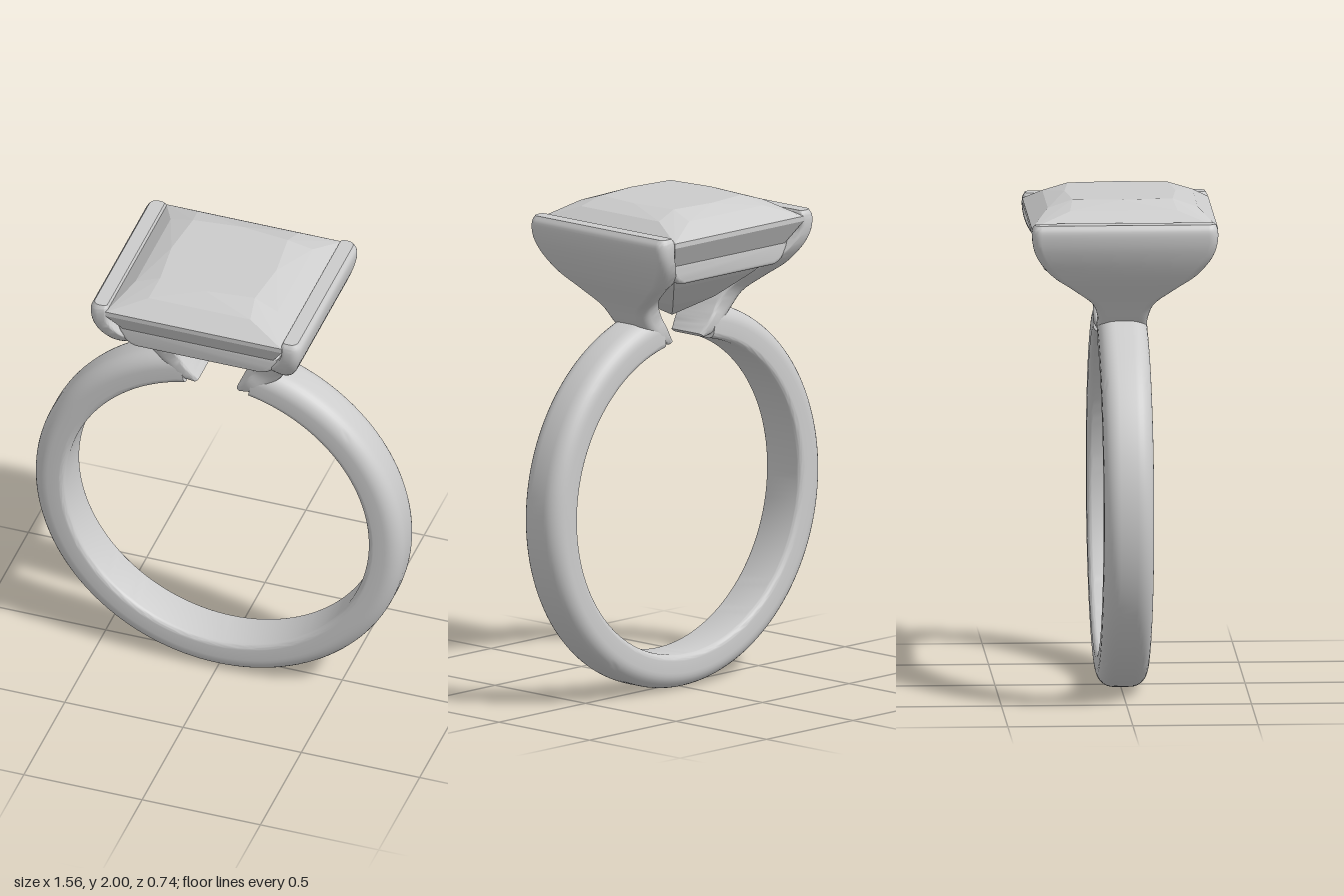
import * as THREE from 'three';
import { toCreasedNormals } from 'three/addons/utils/BufferGeometryUtils.js';
import { ConvexGeometry } from 'three/addons/geometries/ConvexGeometry.js';

// Rounded rectangle outline: u runs inner to outer, v is the depth.
function roundedSection(width, halfDepth, outerR, innerR, steps = 6) {
  const points = [];
  const w = width / 2;
  const corners = [[1, 1, outerR], [-1, 1, innerR], [-1, -1, innerR], [1, -1, outerR]];
  corners.forEach(([su, sv, radius], k) => {
    const r = Math.min(radius, w * 0.95, halfDepth * 0.95);
    for (let i = 0; i <= steps; i++) {
      const a = (k + i / steps) * Math.PI / 2;
      points.push([su * (w - r) + r * Math.cos(a), sv * (halfDepth - r) + r * Math.sin(a)]);
    }
  });
  return points;
}

// Capped skin through a list of equal-length closed sections.
function loft(sections, crease) {
  const n = sections[0].length;
  const last = sections.length - 1;
  const positions = sections.flat().flatMap((p) => [p.x, p.y, p.z]);
  const index = [];
  for (let i = 0; i < last; i++) {
    for (let j = 0; j < n; j++) {
      const k = (j + 1) % n;
      const a = i * n + j, b = i * n + k;
      index.push(a, a + n, b, b, a + n, b + n);
    }
  }
  for (let j = 1; j < n - 1; j++) {
    index.push(0, j, j + 1, last * n, last * n + j + 1, last * n + j);
  }
  const geometry = new THREE.BufferGeometry();
  geometry.setAttribute('position', new THREE.Float32BufferAttribute(positions, 3));
  geometry.setIndex(index);
  return toCreasedNormals(geometry, crease);
}

// Open ring with a domed outside and a flatter inside.
function bandGeometry() {
  const profile = roundedSection(0.14, 0.1, 0.07, 0.025, 8);
  const gap = THREE.MathUtils.degToRad(12);
  const start = Math.PI / 2 + gap;
  const sweep = Math.PI * 2 - gap * 2;
  const sections = [];
  for (let i = 0; i <= 128; i++) {
    const a = start + sweep * i / 128;
    sections.push(profile.map(([u, v]) =>
      new THREE.Vector3(Math.cos(a) * (0.71 + u), 0.78 + Math.sin(a) * (0.71 + u), v)));
  }
  return loft(sections, 0.8);
}

// Shoulder flaring from the band tip into a wide plate beside the gem.
function shoulderGeometry() {
  // inner x, inner y, outer x, outer y, half depth
  const stations = [
    [0.08, 1.43, 0.10, 1.415, 0.085],
    [0.125, 1.49, 0.17, 1.43, 0.1],
    [0.16, 1.545, 0.255, 1.505, 0.1],
    [0.2, 1.61, 0.3, 1.575, 0.125],
    [0.245, 1.68, 0.345, 1.645, 0.21],
    [0.285, 1.735, 0.385, 1.71, 0.295],
    [0.335, 1.8, 0.42, 1.785, 0.35],
    [0.365, 1.86, 0.44, 1.85, 0.37],
    [0.367, 1.915, 0.444, 1.905, 0.37],
    [0.372, 1.93, 0.43, 1.93, 0.36],
  ];
  const inner = new THREE.CatmullRomCurve3(stations.map((s) => new THREE.Vector3(s[0], s[1], s[4])));
  const outer = new THREE.CatmullRomCurve3(stations.map((s) => new THREE.Vector3(s[2], s[3], s[4])));
  const sections = [];
  for (let i = 0; i <= 45; i++) {
    const a = inner.getPoint(i / 45), b = outer.getPoint(i / 45);
    const depth = (a.z + b.z) / 2;
    a.z = b.z = 0;
    const middle = a.clone().add(b).multiplyScalar(0.5);
    const axis = b.clone().sub(a);
    const width = axis.length();
    axis.normalize();
    sections.push(roundedSection(width, depth, 0.045, 0.014).map(([u, v]) =>
      new THREE.Vector3(middle.x + axis.x * u, middle.y + axis.y * u, v)));
  }
  return loft(sections, 0.8);
}

// Cross bar under the gem, with rounded lower ends.
function railGeometry() {
  const bevel = 0.018;
  const s = new THREE.Shape();
  s.moveTo(-0.26, 1.738);
  s.lineTo(0.26, 1.738);
  s.quadraticCurveTo(0.3, 1.742, 0.32, 1.797);
  s.lineTo(-0.32, 1.797);
  s.quadraticCurveTo(-0.3, 1.742, -0.26, 1.738);
  const geometry = new THREE.ExtrudeGeometry(s, {
    depth: 0.044, bevelSize: bevel, bevelThickness: bevel, bevelSegments: 4, curveSegments: 8,
  });
  geometry.translate(0, 0, -0.022);
  return toCreasedNormals(geometry, 0.7);
}

// Square faceted stone: table, crown, girdle and curved pavilion.
function gemGeometry() {
  const points = [new THREE.Vector3(0, 1.51, 0)];
  const addSquare = (h, y) => {
    for (const sx of [-1, 1]) for (const sz of [-1, 1]) points.push(new THREE.Vector3(sx * h, y, sz * h));
  };
  addSquare(0.2, 2);
  for (const s of [-1, 1]) {
    points.push(new THREE.Vector3(s * 0.222, 2, 0), new THREE.Vector3(0, 2, s * 0.222));
    for (const t of [-1, 1]) {
      points.push(new THREE.Vector3(s * 0.3, 1.968, t * 0.215), new THREE.Vector3(t * 0.215, 1.968, s * 0.3));
    }
  }
  const rings = [[0.372, 1.91], [0.372, 1.89], [0.3, 1.77], [0.23, 1.685], [0.12, 1.585]];
  rings.forEach(([h, y]) => addSquare(h, y));
  return new ConvexGeometry(points);
}

export function createModel() {
  const silver = new THREE.MeshStandardMaterial({ color: 0xcccccc });
  silver.name = 'silver';
  const model = new THREE.Group();
  model.name = 'ring';

  const add = (name, geometry) => {
    const mesh = new THREE.Mesh(geometry, silver);
    mesh.name = name;
    model.add(mesh);
    return mesh;
  };

  add('band', bandGeometry());
  add('gem', gemGeometry());

  // Half-turn copies for the opposite shoulder and rail.
  const shoulder = shoulderGeometry();
  add('leftShoulder', shoulder);
  add('rightShoulder', shoulder).rotation.y = Math.PI;

  const rail = railGeometry();
  add('frontRail', rail).position.z = 0.28;
  add('backRail', rail).position.z = -0.28;

  return model;
}
